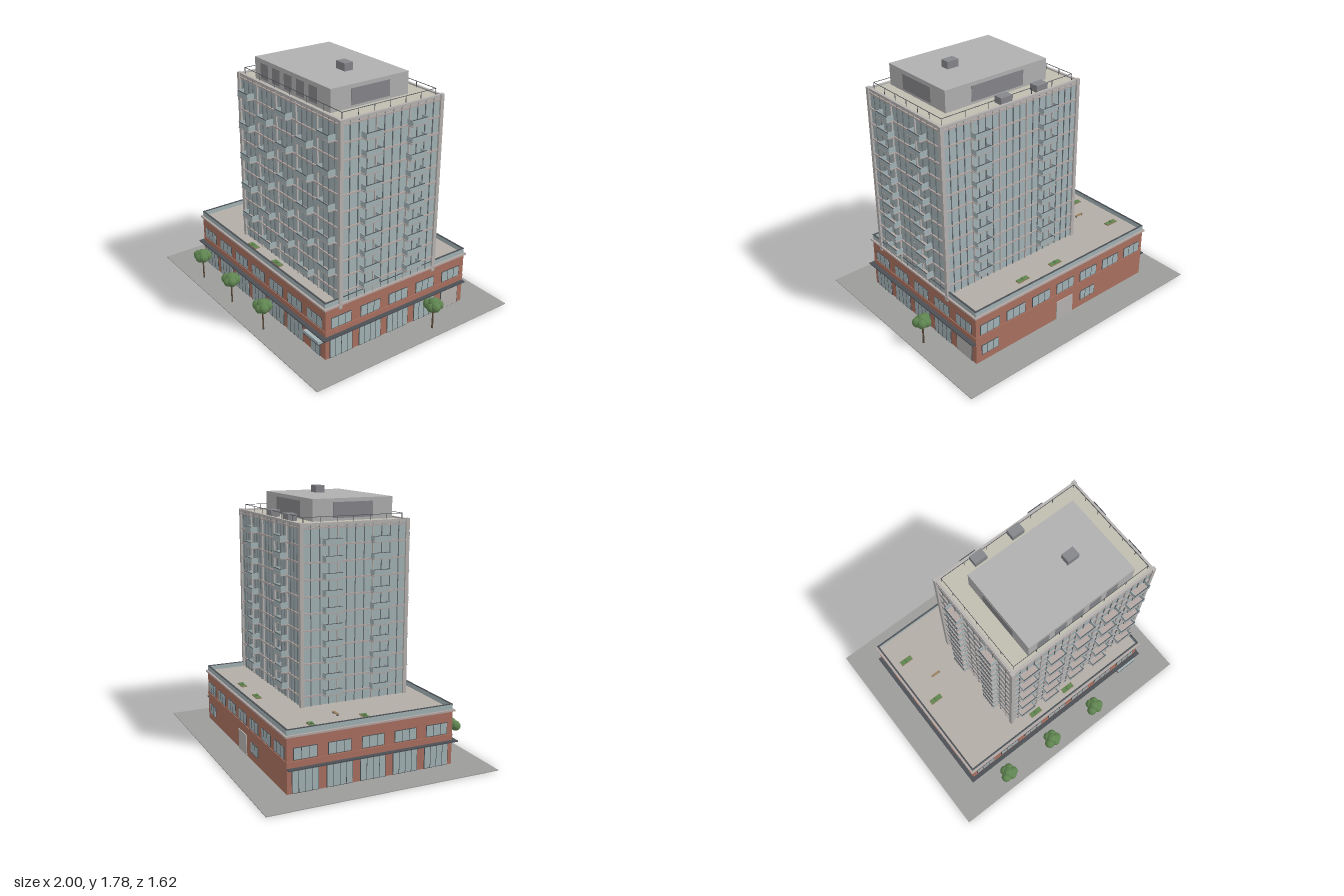
import * as THREE from 'three';

const mat = (color, extra = {}) => new THREE.MeshStandardMaterial({ color, ...extra });
const M = {
  paving: mat(0x9c9c9a), brick: mat(0xa9705f), glass: mat(0xa3b3b6), dark: mat(0x4c5055),
  slab: mat(0xb3a6a3), column: mat(0xb5b2b0), terrace: mat(0xb3ada6), roof: mat(0xc0bcb0),
  plant: mat(0xb0b0b0), louvre: mat(0x85868a), mullion: mat(0x6f777a),
  leaf: mat(0x5f8450, { flatShading: true }), bark: mat(0x5b4a3a), wood: mat(0x98805f),
};
const unitBox = new THREE.BoxGeometry(1, 1, 1);

// Box given by its centre in x and z, its bottom y and its size
function box(parent, name, material, [x, y, z], [w, h, d]) {
  const m = new THREE.Mesh(unitBox, material);
  m.name = name;
  m.position.set(x, y + h / 2, z);
  m.scale.set(w, h, d);
  parent.add(m);
  return m;
}

function group(parent, name, x = 0, y = 0, z = 0) {
  const g = new THREE.Group();
  g.name = name;
  g.position.set(x, y, z);
  parent.add(g);
  return g;
}

// Four facade groups around a rectangle; local +z points outwards
function facades(parent, name, cx, cz, hx, hz) {
  return ['front', 'right', 'back', 'left'].map((side, i) => {
    const a = i * Math.PI / 2;
    const g = group(parent, name + ' ' + side, cx + Math.sin(a) * hx, 0, cz + Math.cos(a) * hz);
    g.rotation.y = a;
    return { g, half: i % 2 ? hz : hx };
  });
}

// Framed window with vertical mullions, lying on a facade
function pane(g, name, u, y, w, h, bars) {
  box(g, name + ' frame', M.dark, [u, y, 0], [w, h, 0.008]);
  box(g, name + ' glass', M.glass, [u, y + 0.004, 0], [w - 0.008, h - 0.008, 0.011]);
  for (let i = 1; i <= bars; i++)
    box(g, name + ' mullion', M.dark, [u - w / 2 + w * i / (bars + 1), y, 0], [0.003, h, 0.014]);
}

function balcony(g, u, y) {
  const b = group(g, 'balcony', u, y, 0), w = 0.13, d = 0.055, h = 0.042;
  box(b, 'balcony slab', M.slab, [0, 0, d / 2], [w, 0.006, d]);
  box(b, 'balcony front glass', M.glass, [0, 0.004, d - 0.003], [w - 0.01, h - 0.004, 0.004]);
  box(b, 'balcony handrail', M.dark, [0, h, d - 0.003], [w - 0.008, 0.003, 0.005]);
  for (const s of [-1, 1])
    box(b, 'balcony side glass', M.glass, [s * (w / 2 - 0.006), 0.004, d / 2], [0.004, h - 0.002, d - 0.004]);
}

function buildPodium(root) {
  const p = group(root, 'podium');
  box(p, 'podium walls', M.brick, [0, 0.004, 0], [1.56, 0.371, 1.18]);
  box(p, 'cornice', M.slab, [0, 0.372, 0], [1.585, 0.012, 1.205]);
  box(p, 'terrace floor', M.terrace, [0, 0.38, 0], [1.55, 0.006, 1.17]);
  facades(p, 'podium', 0, 0, 0.78, 0.59).forEach(({ g, half }, f) => {
    const n = f % 2 ? 5 : 7, step = f % 2 ? 0.234 : 0.222;
    box(g, 'terrace railing', M.glass, [0, 0.38, -0.006], [half * 2, 0.038, 0.008]);
    box(g, 'terrace handrail', M.dark, [0, 0.418, -0.006], [half * 2, 0.004, 0.011]);
    box(g, 'brick band', M.brick, [0, 0.205, 0], [half * 2, 0.01, 0.01]);
    for (let i = 0; i < n; i++) {
      const u = (i - (n - 1) / 2) * step;
      pane(g, 'upper window', u, 0.222, 0.16, 0.08, 2);
      if (f === 2) {
        // service side
        if (i === 3) box(g, 'service door', M.column, [u, 0.006, 0], [0.15, 0.145, 0.012]);
        else if (i === 0 || i === 4) pane(g, 'lower window', u, 0.06, 0.14, 0.075, 2);
      } else if (f === 1 && i === n - 1) {
        box(g, 'garage door frame', M.dark, [u, 0.005, 0], [0.16, 0.157, 0.008]);
        box(g, 'garage door', M.column, [u, 0.008, 0], [0.15, 0.148, 0.012]);
      } else if (f === 0 && i === n - 1) {
        pane(g, 'entrance door', u + 0.01, 0.005, 0.1, 0.105, 1);
        box(g, 'entrance awning', M.glass, [u + 0.01, 0.125, 0.02], [0.165, 0.02, 0.04]);
        box(g, 'awning trim', M.dark, [u + 0.01, 0.12, 0.02], [0.17, 0.005, 0.044]);
      } else pane(g, 'shop window', u, 0.006, 0.18, 0.155, 3);
    }
    if (f !== 2) box(g, 'canopy', M.dark, [0, 0.164, 0.014], [half * 2 + (f ? 0 : 0.06), 0.008, 0.032]);
  });
}

function buildTower(root) {
  const cx = 0.22, cz = 0.09, hx = 0.555, hz = 0.385, floor = 0.111, y0 = 0.455;
  const t = group(root, 'tower');
  box(t, 'glass core', M.glass, [cx, 0.38, cz], [hx * 2, 1.205, hz * 2]);
  box(t, 'tower roof', M.roof, [cx, 1.58, cz], [hx * 2, 0.008, hz * 2]);
  for (let i = 0; i < 11; i++)
    box(t, 'floor slab', M.slab, [cx, y0 + i * floor - 0.004, cz], [hx * 2 + 0.018, 0.01, hz * 2 + 0.018]);
  for (const sx of [-1, 1]) for (const sz of [-1, 1])
    box(t, 'corner column', M.column, [cx + sx * (hx + 0.001), 0.347, cz + sz * (hz + 0.001)], [0.026, 1.253, 0.026]);

  facades(t, 'tower', cx, cz, hx, hz).forEach(({ g, half }, f) => {
    // mullions, with a deeper fin at each bay
    const n = f % 2 ? 12 : 20;
    for (let i = 1; i < n; i++) {
      const fin = i % 4 === 0;
      box(g, fin ? 'fin' : 'mullion', fin ? M.column : M.mullion,
        [-half + 2 * half * i / n, 0.385, 0], [fin ? 0.008 : 0.004, 1.2, fin ? 0.022 : 0.014]);
    }
    box(g, 'parapet', M.column, [0, 1.577, -0.002], [half * 2, 0.02, 0.018]);
    // roof railing
    box(g, 'roof handrail', M.dark, [0, 1.63, -0.025], [half * 2 - 0.05, 0.003, 0.003]);
    for (let i = 0; i <= 6; i++)
      box(g, 'roof railing post', M.dark, [(i / 3 - 1) * (half - 0.025), 1.585, -0.025], [0.003, 0.047, 0.003]);
    // staggered balconies on the front, straight stacks elsewhere
    for (let i = 0; i < 10; i++) {
      const stack = f === 0 ? (i % 2 ? [-0.444, 0, 0.444] : [-0.222, 0.222]) : f === 2 ? [-0.276, 0.276] : [-0.175, 0.175];
      for (const u of stack) balcony(g, u, y0 + i * floor);
    }
  });
}

function buildPenthouse(root) {
  const p = group(root, 'penthouse'), hx = 0.41, hz = 0.296;
  box(p, 'penthouse walls', M.plant, [0.22, 1.585, 0.146], [hx * 2, 0.15, hz * 2]);
  facades(p, 'penthouse', 0.22, 0.146, hx, hz).forEach(({ g }, f) => {
    if (f === 0) for (let i = -2; i <= 2; i++)
      box(g, 'louvre', M.louvre, [i * 0.134 - 0.03, 1.605, 0], [0.086, 0.105, 0.006]);
    else box(g, 'louvre', M.louvre, [0, 1.605, 0], [f === 2 ? 0.42 : 0.295, 0.105, 0.006]);
  });
  box(p, 'roof unit', M.louvre, [0.368, 1.735, 0.142], [0.087, 0.05, 0.065]);
  for (const x of [-0.04, 0.255]) box(p, 'roof unit', M.louvre, [x, 1.588, -0.248], [0.093, 0.047, 0.065]);
}

function buildTree(root, x, z) {
  const t = group(root, 'tree', x, 0, z);
  const trunk = new THREE.Mesh(new THREE.CylinderGeometry(0.005, 0.007, 0.17, 6), M.bark);
  trunk.name = 'trunk';
  trunk.position.y = 0.085;
  t.add(trunk);
  const blob = new THREE.IcosahedronGeometry(1, 1);
  const blobs = [[0, 0.197, 0, 0.042], [0.033, 0.188, 0.012, 0.036], [-0.033, 0.186, 0.018, 0.036],
    [-0.012, 0.188, -0.028, 0.035], [0.012, 0.182, 0.03, 0.032], [0.022, 0.19, -0.026, 0.034]];
  blobs.forEach(([bx, by, bz, r], i) => {
    const m = new THREE.Mesh(blob, M.leaf);
    m.name = 'foliage';
    m.position.set(bx, by, bz);
    m.scale.setScalar(r);
    m.rotation.y = i;
    t.add(m);
  });
}

function buildTerrace(root) {
  const t = group(root, 'terrace furniture');
  const shrub = new THREE.IcosahedronGeometry(0.013, 0);
  for (const [x, z] of [[-0.67, -0.375], [-0.67, 0], [0, -0.485], [0.295, -0.485], [-0.155, 0.528], [0.145, 0.528]]) {
    box(t, 'planter', M.wood, [x, 0.384, z], [0.095, 0.008, 0.038]);
    box(t, 'planting', M.leaf, [x, 0.39, z], [0.089, 0.004, 0.033]);
    const s = new THREE.Mesh(shrub, M.leaf);
    s.name = 'shrub';
    s.position.set(x, 0.398, z);
    t.add(s);
  }
  box(t, 'bench seat', M.wood, [-0.557, 0.396, -0.155], [0.07, 0.004, 0.017]);
  for (const s of [-1, 1]) box(t, 'bench leg', M.dark, [-0.557 + s * 0.028, 0.385, -0.155], [0.005, 0.012, 0.014]);
}

export function createModel() {
  const root = new THREE.Group();
  root.name = 'apartment building';
  box(root, 'pavement', M.paving, [0, 0, 0], [2, 0.005, 1.625]);
  buildPodium(root);
  buildTower(root);
  buildPenthouse(root);
  buildTerrace(root);
  for (const [x, z] of [[-0.56, 0.725], [-0.15, 0.725], [0.26, 0.725], [0.917, -0.195]]) buildTree(root, x, z);
  return root;
}
